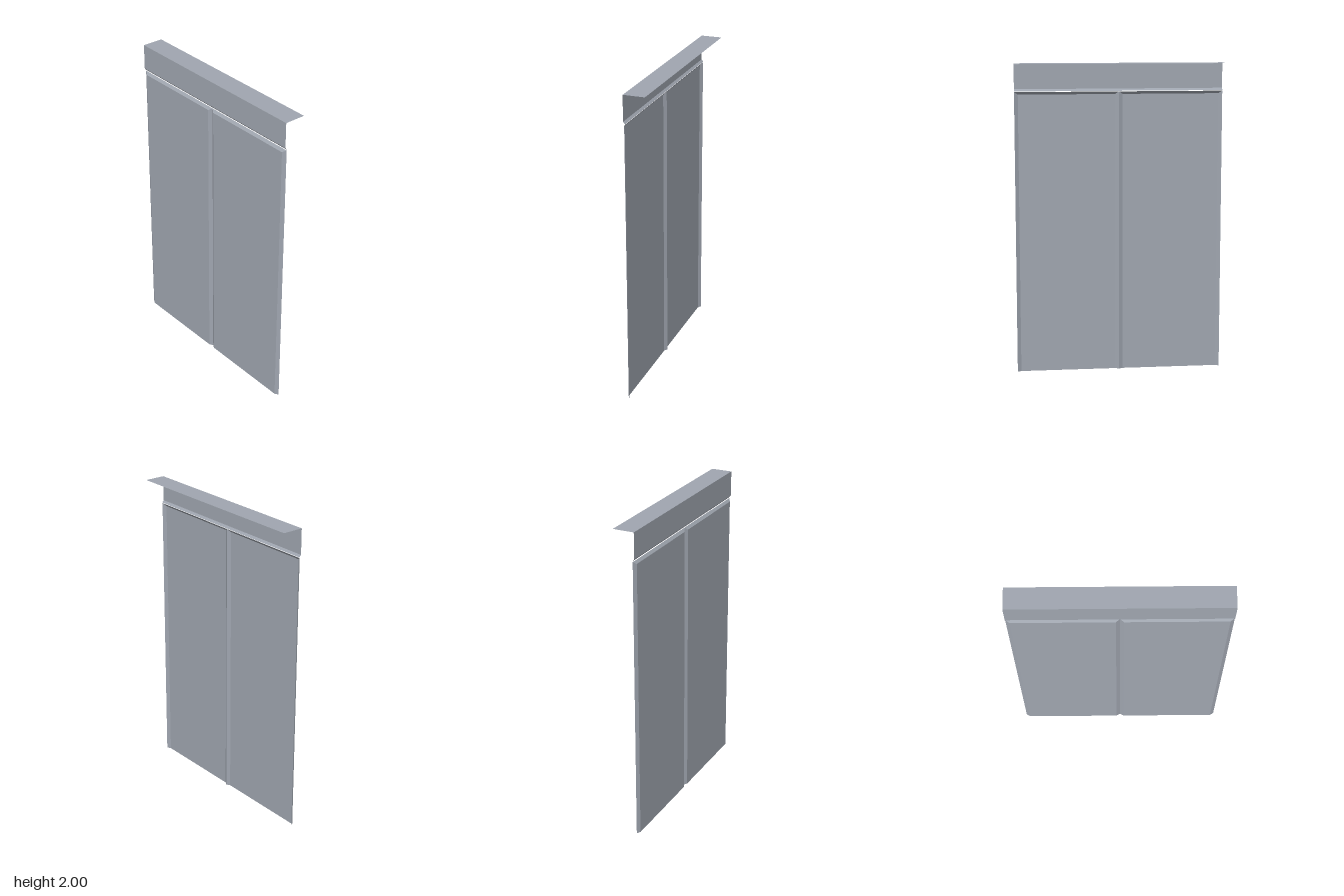
import * as THREE from 'three';

// Flat facets from corner quads, listed counter-clockwise as seen from outside
function sheet(name, quads, material) {
  const points = [];
  for (const [a, b, c, d] of quads) points.push(...a, ...b, ...c, ...a, ...c, ...d);
  const geometry = new THREE.BufferGeometry();
  geometry.setAttribute('position', new THREE.Float32BufferAttribute(points, 3));
  geometry.computeVertexNormals();
  const mesh = new THREE.Mesh(geometry, material);
  mesh.name = name;
  return mesh;
}

export function createModel() {
  const group = new THREE.Group();
  group.name = 'doubleDoorFront';
  const metal = new THREE.MeshStandardMaterial({ color: 0xa0a6b0, side: THREE.DoubleSide });
  metal.name = 'greyMetal';

  const half = 0.665;
  const faceZ = 0.07, rimZ = 0.056; // door face and its folded-back rim
  const fasciaZ = 0.066, backZ = -0.07;

  // Two door leaves: flat face with sides and top folded back
  const bend = 0.024, top = 1.82, faceTop = 1.803;
  for (const side of [-1, 1]) {
    const x0 = side < 0 ? -half : 0, x1 = x0 + half;
    const a = x0 + bend, b = x1 - bend;
    group.add(sheet(side < 0 ? 'rightDoor' : 'leftDoor', [
      [[a, 0, faceZ], [b, 0, faceZ], [b, faceTop, faceZ], [a, faceTop, faceZ]],
      [[x0, 0, rimZ], [a, 0, faceZ], [a, faceTop, faceZ], [x0, top, rimZ]],
      [[b, 0, faceZ], [x1, 0, rimZ], [x1, top, rimZ], [b, faceTop, faceZ]],
      [[a, faceTop, faceZ], [b, faceTop, faceZ], [x1, top, rimZ], [x0, top, rimZ]],
    ], metal));
  }

  // Bent sheet above the doors: lower lip, fascia and top, as one profile in (y, z)
  const profile = [[1.824, 0.054], [1.838, fasciaZ], [2, fasciaZ], [2, backZ]];
  const names = ['fasciaLip', 'fascia', 'topSheet'];
  names.forEach((name, i) => {
    const p = profile[i], q = profile[i + 1];
    group.add(sheet(name, [[[-half, ...p], [half, ...p], [half, ...q], [-half, ...q]]], metal));
  });

  return group;
}
